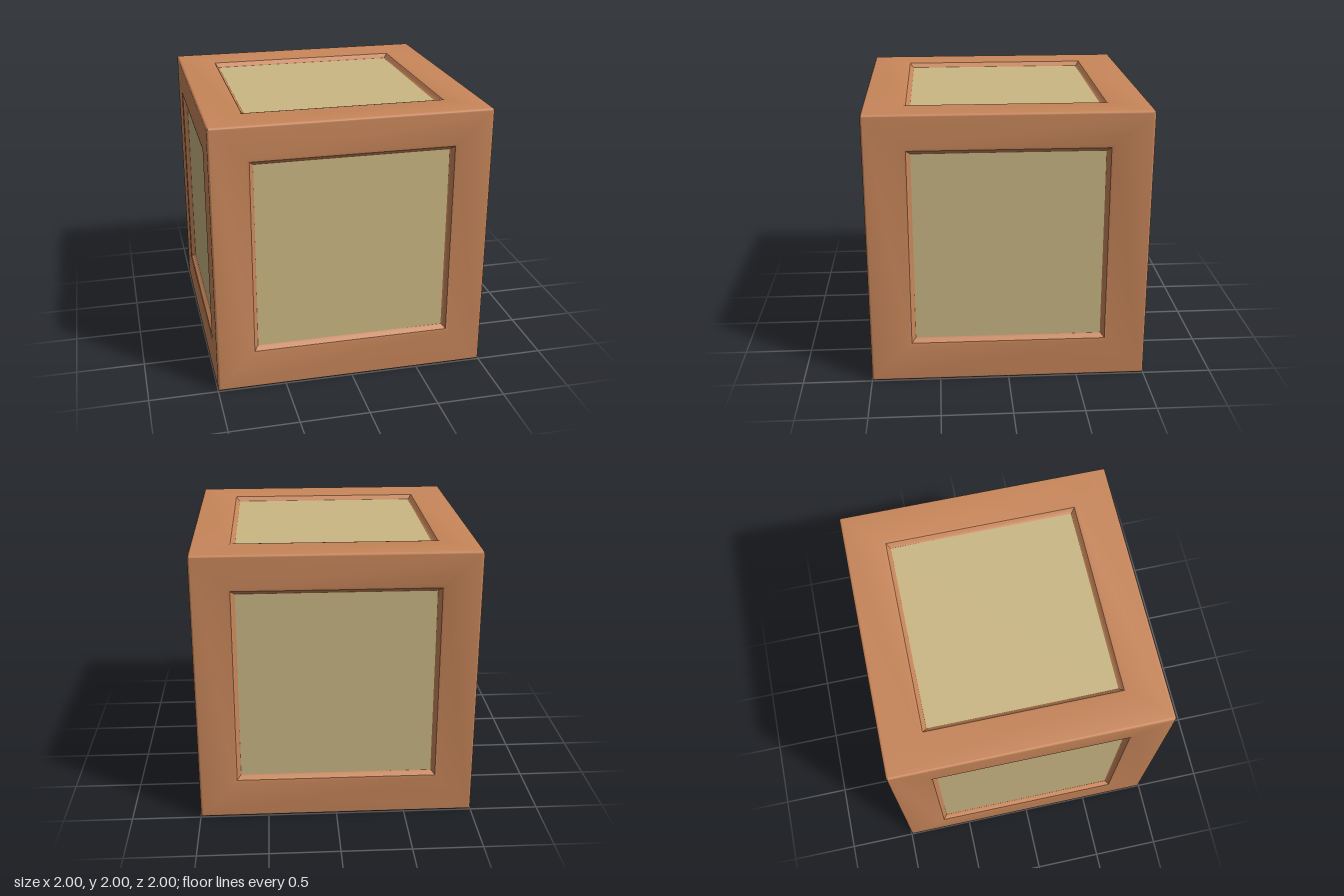
import * as THREE from 'three';
import { toCreasedNormals } from 'three/addons/utils/BufferGeometryUtils.js';

const frameMaterial = new THREE.MeshStandardMaterial({ color: 0xc8865a });
const panelMaterial = new THREE.MeshStandardMaterial({ color: 0xcab784 });

const EDGE = 0.02; // radius of the rounded outer edges
const PANEL_DEPTH = 0.037;
// moulding around the opening: [margin beyond the panel, depth below the face]
const MOULDING = [[0.05, 0], [0.03, 0.005], [0.023, 0.012], [0.011, 0.03], [0, PANEL_DEPTH]];

// Nested rectangular rings, outermost first, joined by mitred strips
function ringGeometry(rings) {
  const corners = rings.map(({ w, h, cy, depth }) =>
    [[-1, -1], [1, -1], [1, 1], [-1, 1]].map(([sx, sy]) => [sx * w, cy + sy * h, 1 - depth]));
  const positions = [];
  for (let i = 0; i + 1 < corners.length; i++) {
    for (let k = 0; k < 4; k++) {
      const n = (k + 1) % 4;
      const [a, b, c, d] = [corners[i][k], corners[i][n], corners[i + 1][n], corners[i + 1][k]];
      positions.push(...a, ...b, ...c, ...a, ...c, ...d);
    }
  }
  const geometry = new THREE.BufferGeometry();
  geometry.setAttribute('position', new THREE.Float32BufferAttribute(positions, 3));
  return toCreasedNormals(geometry, 0.5);
}

// One side of the box, facing +z, with a panel of half size w by h
function createSide(name, w, h, cy) {
  const side = new THREE.Group();
  side.name = name + 'Side';

  // half of the rounded edge, which meets the neighbouring sides
  const rings = [45, 30, 15, 0].map((deg) => {
    const t = THREE.MathUtils.degToRad(deg);
    const half = 1 - EDGE + EDGE * Math.sin(t);
    return { w: half, h: half, cy: 0, depth: EDGE * (1 - Math.cos(t)) };
  });
  for (const [margin, depth] of MOULDING) rings.push({ w: w + margin, h: h + margin, cy, depth });

  const frame = new THREE.Mesh(ringGeometry(rings), frameMaterial);
  frame.name = name + 'Frame';

  const panel = new THREE.Mesh(new THREE.PlaneGeometry(2 * w, 2 * h), panelMaterial);
  panel.name = name + 'Panel';
  panel.position.set(0, cy, 1 - PANEL_DEPTH);

  side.add(frame, panel);
  return side;
}

export function createModel() {
  const box = new THREE.Group();
  box.name = 'panelledBox';
  const X = 0.694, Y = 0.694, Z = 0.672, LIFT = 0.02;

  // upright sides, their panels slightly above the middle
  ['front', 'left', 'back', 'right'].forEach((name, i) => {
    const side = createSide(name, i % 2 ? Z : X, Y, LIFT);
    side.rotation.y = i * Math.PI / 2;
    box.add(side);
  });

  // top and bottom
  for (const [name, turn] of [['top', -1], ['bottom', 1]]) {
    const side = createSide(name, X, Z, 0);
    side.rotation.x = turn * Math.PI / 2;
    box.add(side);
  }

  box.position.y = 1;
  const model = new THREE.Group();
  model.name = 'crate';
  model.add(box);
  return model;
}
